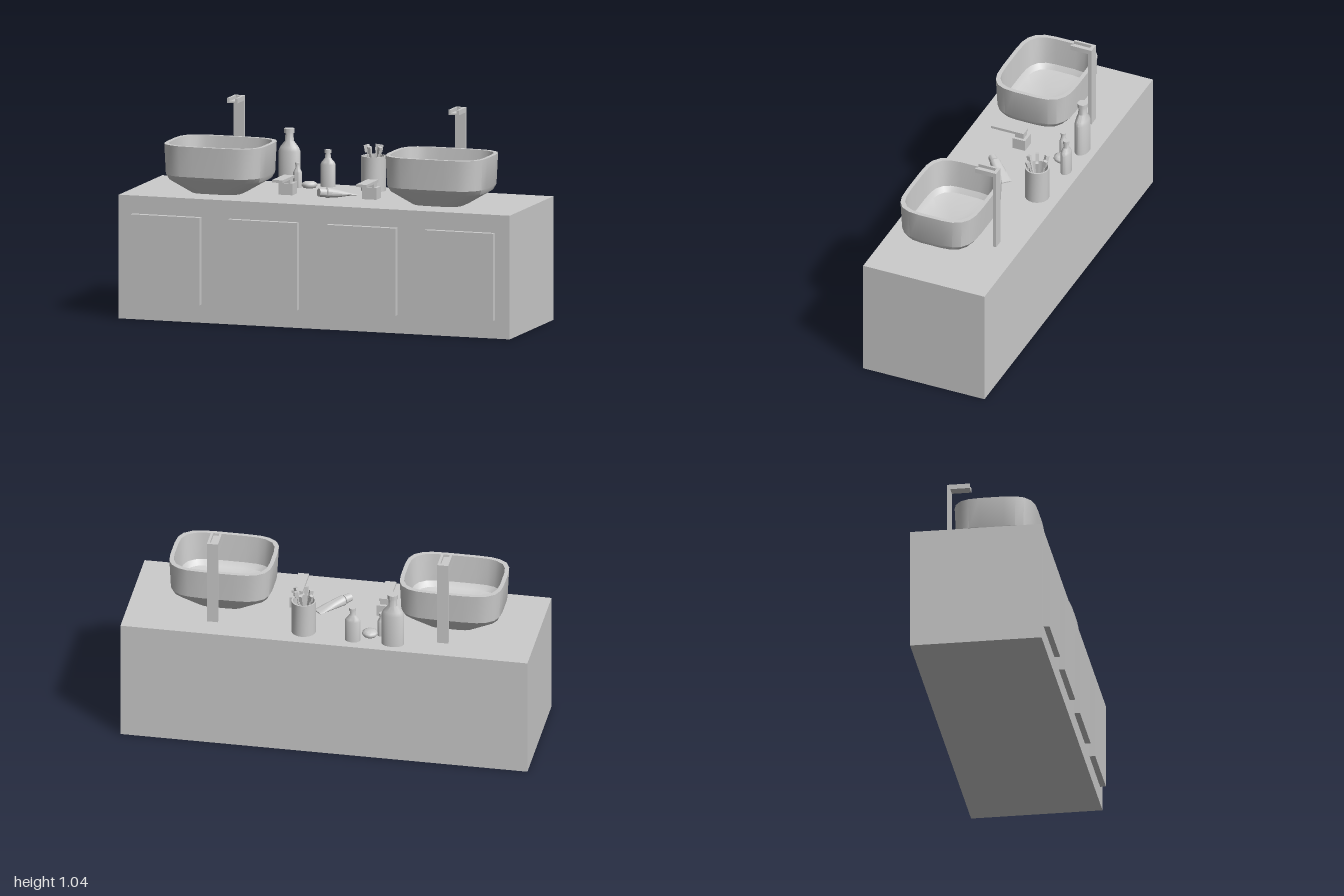
import * as THREE from 'three';
import { toCreasedNormals } from 'three/addons/utils/BufferGeometryUtils.js';

const grey = new THREE.MeshStandardMaterial({ color: 0xcccccc });
const TOP = 0.605; // countertop height

function add(parent, name, geometry, x = 0, y = 0, z = 0) {
  const mesh = new THREE.Mesh(geometry, grey);
  mesh.name = name;
  mesh.position.set(x, y, z);
  parent.add(mesh);
  return mesh;
}

// Box given by its limits on each axis
function box(parent, name, [x0, x1], [y0, y1], [z0, z1]) {
  return add(parent, name, new THREE.BoxGeometry(x1 - x0, y1 - y0, z1 - z0),
    (x0 + x1) / 2, (y0 + y1) / 2, (z0 + z1) / 2);
}

// Skin over scaled copies of an outline; each section is [y, x scale, z scale]
function loft(outline, sections, crease = 0.6) {
  const rings = sections.map(([y, sx, sz = sx]) =>
    outline.map(([x, z]) => new THREE.Vector3(x * sx, y, z * sz)));
  const positions = [];
  const triangle = (a, b, c) => {
    if (a.equals(b) || b.equals(c) || c.equals(a)) return;
    for (const p of [a, b, c]) positions.push(p.x, p.y, p.z);
  };
  for (let i = 0; i < rings.length - 1; i++) {
    for (let j = 0; j < outline.length; j++) {
      const k = (j + 1) % outline.length;
      triangle(rings[i][j], rings[i + 1][j], rings[i][k]);
      triangle(rings[i][k], rings[i + 1][j], rings[i + 1][k]);
    }
  }
  const geometry = new THREE.BufferGeometry();
  geometry.setAttribute('position', new THREE.Float32BufferAttribute(positions, 3));
  return toCreasedNormals(geometry, crease);
}

const circle = Array.from({ length: 20 }, (_, i) => {
  const a = (i / 20) * Math.PI * 2;
  return [Math.cos(a), Math.sin(a)];
});

// Softened rectangle: one corner mirrored into four
const corner = [[1, 0.3], [0.975, 0.58], [0.9, 0.78], [0.75, 0.92], [0.58, 0.98], [0.3, 1]];
const flip = (sx, sz) => corner.map(([x, z]) => [x * sx, z * sz]);
const basinOutline = [...flip(1, 1), ...flip(-1, 1).reverse(), ...flip(-1, -1), ...flip(1, -1).reverse()];

function createBasin(x) {
  const sections = [
    [0, 0, 0], [0, 0.125, 0.115], [0.065, 0.235, 0.174], [0.09, 0.247, 0.193], [0.24, 0.254, 0.2],
    [0.24, 0.234, 0.18], [0.1, 0.222, 0.168], [0.075, 0.205, 0.15], [0.055, 0.13, 0.11], [0.055, 0, 0],
  ];
  const geometry = loft(basinOutline, sections, 0.5);
  const mesh = new THREE.Mesh(geometry, grey);
  mesh.name = 'basin';
  mesh.position.set(x, TOP, 0.037);
  return mesh;
}

// Square column with an open channel spout
function createFaucet(x) {
  const faucet = new THREE.Group();
  faucet.name = 'faucet';
  faucet.position.x = x;
  box(faucet, 'faucetColumn', [-0.027, 0.027], [TOP, 1.038], [-0.217, -0.2]);
  box(faucet, 'spoutFloor', [-0.027, 0.027], [1.014, 1.022], [-0.2, -0.105]);
  for (const s of [-1, 1]) {
    box(faucet, 'spoutRail', [s * 0.021 - 0.006, s * 0.021 + 0.006], [1.022, 1.038], [-0.2, -0.105]);
  }
  return faucet;
}

// Oval bottle with sloped shoulder, neck and lip
function createBottle(parent, x, z, height, rx, rz, neck) {
  const h = height;
  add(parent, 'bottle', loft(circle, [
    [0, 0], [0, rx, rz], [h * 0.6, rx, rz], [h * 0.67, rx * 0.85, rz * 0.88],
    [h * 0.78, neck * 0.95], [h * 0.92, neck * 0.85], [h * 0.92, neck * 1.1],
    [h, neck * 1.1], [h, 0],
  ]), x, TOP, z);
}

// Small block stand with a flat lever reaching forward
function createDispenser(x) {
  const dispenser = new THREE.Group();
  dispenser.name = 'dispenser';
  dispenser.position.x = x;
  box(dispenser, 'dispenserBase', [-0.036, 0.036], [TOP, 0.662], [-0.015, 0.052]);
  box(dispenser, 'dispenserNeck', [-0.022, 0.022], [0.662, 0.682], [0, 0.045]);
  box(dispenser, 'dispenserLever', [-0.027, 0.027], [0.682, 0.695], [-0.003, 0.17]);
  return dispenser;
}

// Hollow cup holding leaning brushes
function createBrushCup() {
  const group = new THREE.Group();
  group.name = 'brushCup';
  group.position.set(0.12, TOP, -0.222);
  add(group, 'cup', loft(circle, [
    [0, 0], [0, 0.06], [0.17, 0.06], [0.17, 0.053], [0.012, 0.053], [0.012, 0],
  ]));
  for (let i = 0; i < 6; i++) {
    const brush = new THREE.Group();
    brush.name = 'brush';
    const lean = 0.17 + 0.04 * (i % 3);
    brush.rotation.set(0, i * 1.05 + 0.4, -lean, 'YXZ');
    brush.position.y = 0.014;
    box(brush, 'brushHandle', [-0.004, 0.004], [0, 0.2], [-0.006, 0.006]);
    box(brush, 'brushHead', [-0.006, 0.012], [0.178, 0.212], [-0.008, 0.008]);
    group.add(brush);
  }
  return group;
}

export function createModel() {
  const model = new THREE.Group();
  model.name = 'doubleVanity';

  // Cabinet and doors
  box(model, 'cabinet', [-1, 1], [0, TOP], [-0.335, 0.307]);
  for (const x of [-0.752, -0.255, 0.25, 0.748]) {
    box(model, 'door', [x - 0.176, x + 0.176], [0.09, 0.517], [0.305, 0.335]);
  }

  // Basins and faucets
  model.add(createBasin(-0.573), createBasin(0.559));
  model.add(createFaucet(-0.562), createFaucet(0.57));

  // Countertop objects
  createBottle(model, -0.325, -0.264, 0.275, 0.055, 0.035, 0.023);
  createBottle(model, -0.128, -0.265, 0.18, 0.038, 0.025, 0.015);
  createBottle(model, -0.258, -0.192, 0.122, 0.022, 0.018, 0.012);
  add(model, 'soap', loft(circle, [
    [0, 0], [0, 0.03], [0.012, 0.039], [0.022, 0.036], [0.029, 0.024], [0.031, 0],
  ], 1), -0.203, TOP, -0.207);
  model.add(createDispenser(-0.236), createDispenser(0.193), createBrushCup());

  // Squeeze tube lying diagonally, round cap to flat crimp
  const tube = loft(circle, [
    [0, 0], [0, 0.02], [0.035, 0.022], [0.035, 0.017], [0.042, 0.026],
    [0.1, 0.028, 0.02], [0.175, 0.03, 0.005], [0.195, 0.03, 0.003], [0.195, 0],
  ]);
  tube.rotateX(-Math.PI / 2);
  add(model, 'squeezeTube', tube, -0.052, 0.633, 0.093).rotation.set(-0.11, -0.8, 0, 'YXZ');

  return model;
}
